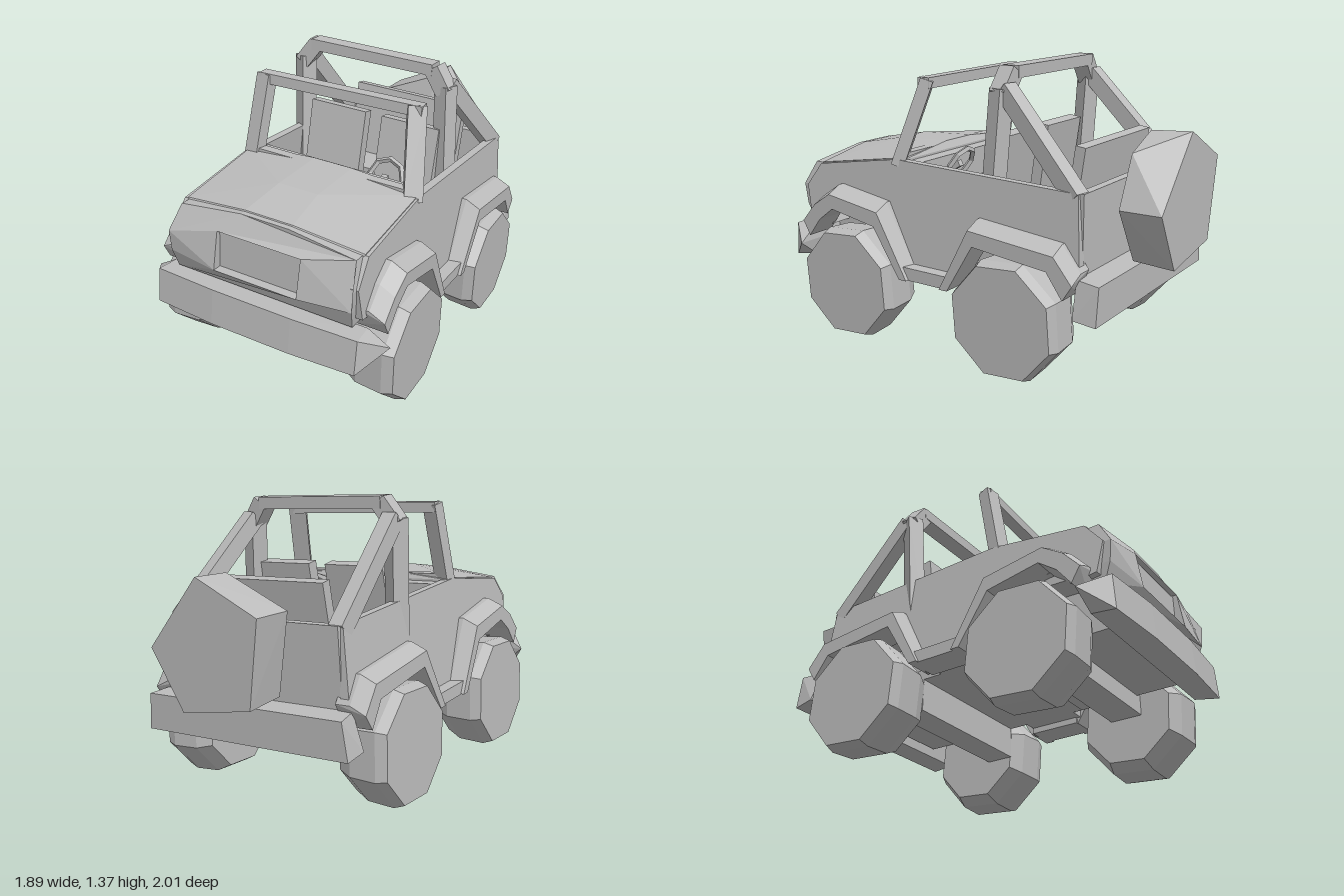
import * as THREE from 'three';
import { ConvexGeometry } from 'three/addons/geometries/ConvexGeometry.js';

export function createModel() {
  const model = new THREE.Group();
  const car = new THREE.Group();
  car.name = 'offRoadCar';
  model.add(car);
  const grey = new THREE.MeshStandardMaterial({ color: 0xbcbcbc, flatShading: true, side: THREE.DoubleSide });
  grey.name = 'plain grey';

  const add = (name, geo) => {
    const mesh = new THREE.Mesh(geo, grey);
    mesh.name = name;
    car.add(mesh);
    return mesh;
  };
  const hull = (name, pts) => add(name, new ConvexGeometry(pts.map((p) => new THREE.Vector3(...p))));
  const box = (name, size, pos, tilt = 0) => {
    const mesh = add(name, new THREE.BoxGeometry(...size));
    mesh.position.set(...pos);
    mesh.rotation.x = tilt;
    return mesh;
  };
  // square bar between two points
  const beam = (name, p, q, w, d = w) => {
    const a = new THREE.Vector3(...p), b = new THREE.Vector3(...q);
    const mesh = add(name, new THREE.BoxGeometry(w, d, a.distanceTo(b)));
    mesh.position.copy(a).add(b).multiplyScalar(0.5);
    mesh.lookAt(b);
    return mesh;
  };
  const points = (pts) => pts.map((p) => new THREE.Vector2(...p));

  // body sides with wheel arch cut-outs, profile in (z, y)
  const sideProfile = new THREE.Shape(points([
    [0.72, 0.835], [0.24, 0.91], [-0.73, 0.88], [-0.76, 0.5], [-0.69, 0.5], [-0.62, 0.61], [-0.27, 0.63],
    [-0.11, 0.39], [0.12, 0.39], [0.25, 0.63], [0.6, 0.65], [0.7, 0.56], [0.78, 0.57], [0.81, 0.72],
  ]));
  for (const s of [1, -1]) {
    const geo = new THREE.ExtrudeGeometry(sideProfile, { depth: 0.04, bevelEnabled: false });
    geo.rotateY(-Math.PI / 2);
    geo.translate(s > 0 ? 0.485 : -0.445, 0, 0);
    // lean the sides inwards towards the top
    const p = geo.attributes.position;
    for (let i = 0; i < p.count; i++) p.setX(i, p.getX(i) - s * (p.getY(i) - 0.6) * 0.08);
    add('bodySide', geo);
  }

  // hood with a slight crown
  hull('hood', [-1, 1].flatMap((s) => [
    [s * 0.45, 0.84, 0.72], [s * 0.45, 0.915, 0.24], [s * 0.45, 0.6, 0.76], [s * 0.45, 0.62, 0.2],
    [s * 0.12, 0.885, 0.75], [s * 0.1, 0.93, 0.52], [s * 0.1, 0.945, 0.22], [s * 0.45, 0.91, 0.2],
    [s * 0.22, 0.6, 0.81], [s * 0.22, 0.78, 0.81],
  ]));
  box('engine', [0.66, 0.24, 0.55], [0, 0.51, 0.5]);

  // nose with grille opening, bowed and sloped
  const noseShape = new THREE.Shape(points([
    [-0.45, 0.53], [0.45, 0.53], [0.46, 0.62], [0.465, 0.72], [0.44, 0.835], [0.12, 0.88], [-0.12, 0.88],
    [-0.44, 0.835], [-0.465, 0.72], [-0.46, 0.62],
  ]));
  noseShape.holes.push(new THREE.Path(points([[-0.21, 0.61], [-0.21, 0.79], [0.21, 0.79], [0.21, 0.61]])));
  const nose = new THREE.ExtrudeGeometry(noseShape, { depth: 0.12, bevelEnabled: false });
  nose.translate(0, 0, 0.76);
  const np = nose.attributes.position;
  for (let i = 0; i < np.count; i++) {
    const x = np.getX(i), y = np.getY(i);
    np.setZ(i, np.getZ(i) - 0.18 * x * x - Math.max(0, y - 0.72) * 0.6 - Math.max(0, 0.65 - y) * 0.4);
  }
  add('nose', nose);

  // tub: floor, rear panel, dashboard, wheel wells
  box('floor', [0.72, 0.05, 0.95], [0, 0.43, -0.26]);
  box('doorFloor', [0.92, 0.05, 0.28], [0, 0.43, 0.02]);
  box('rearPanel', [0.9, 0.4, 0.04], [0, 0.68, -0.73]);
  box('dashboard', [0.86, 0.14, 0.1], [0, 0.83, 0.18]);
  box('console', [0.1, 0.16, 0.4], [0, 0.53, -0.05]);
  for (const s of [1, -1]) {
    box('wheelWell', [0.13, 0.04, 0.6], [s * 0.385, 0.63, -0.43]);
    box('innerWell', [0.02, 0.24, 0.6], [s * 0.33, 0.53, -0.43]);
    // running board joining the two flares
    box('runningBoard', [0.14, 0.06, 0.26], [s * 0.49, 0.405, 0.01]);
  }

  // fender flares, each a row of angled slabs along an arch
  const arches = {
    frontFlare: [[0.75, 0.6], [0.67, 0.69], [0.57, 0.755], [0.27, 0.71], [0.1, 0.41]],
    rearFlare: [[-0.09, 0.41], [-0.25, 0.71], [-0.68, 0.67], [-0.77, 0.56]],
  };
  for (const [name, pts] of Object.entries(arches)) {
    const midZ = name === 'frontFlare' ? 0.43 : -0.43;
    for (const s of [1, -1]) {
      for (let i = 0; i < pts.length - 1; i++) {
        hull(name, [pts[i], pts[i + 1]].flatMap(([z, y]) => {
          const zi = z + (midZ - z) * 0.13, yi = Math.max(0.375, y - 0.105);
          return [[s * 0.43, y, z], [s * 0.5, y, z], [s * 0.575, y - 0.035, z], [s * 0.575, yi, zi], [s * 0.43, yi, zi]];
        }));
      }
    }
  }

  // wheels
  for (const s of [1, -1]) {
    for (const z of [0.455, -0.44]) {
      const pts = [];
      for (let i = 0; i < 8; i++) {
        const t = (i + 0.4) * Math.PI / 4;
        for (const [x, r] of [[0.36, 0.235], [0.43, 0.272], [0.56, 0.28], [0.61, 0.262]])
          pts.push([s * x, 0.304 + r * Math.sin(t), z + r * Math.cos(t)]);
      }
      hull(z > 0 ? 'frontWheel' : 'rearWheel', pts);
    }
  }
  // axle housings underneath
  box('frontAxle', [0.74, 0.1, 0.16], [0, 0.35, 0.45]);
  box('rearAxle', [0.72, 0.17, 0.14], [0, 0.335, -0.29]);

  // front bumper with ends swept back to a point
  hull('frontBumper', [-1, 1].flatMap((s) => [
    [s * 0.51, 0.355, 0.87], [s * 0.51, 0.52, 0.86], [s * 0.5, 0.52, 0.75], [s * 0.5, 0.375, 0.75],
    [s * 0.605, 0.455, 0.74], [s * 0.2, 0.355, 0.89], [s * 0.2, 0.525, 0.88],
  ]));
  hull('rearBumper', [-1, 1].flatMap((s) => [
    [s * 0.54, 0.355, -0.865], [s * 0.52, 0.525, -0.865], [s * 0.5, 0.53, -0.75], [s * 0.55, 0.37, -0.76],
  ]));

  // spare wheel on the tail
  const spare = [[0.03, 0.29], [-0.27, 0.14], [-0.2, -0.24], [0.16, -0.29], [0.31, -0.02]];
  hull('spareWheel', [
    ...spare.map(([x, y]) => [x, 0.815 + y, -1.03]),
    ...spare.map(([x, y]) => [x * 1.02, 0.815 + y * 0.96, -0.84]), [0.21, 1.02, -0.84], [0, 0.8, -0.76],
  ]);

  // windshield frame
  beam('windshieldPost', [0.43, 0.88, 0.25], [0.355, 1.28, 0.125], 0.085, 0.06);
  beam('windshieldPost', [-0.42, 0.88, 0.25], [-0.405, 1.28, 0.17], 0.075, 0.06);
  beam('windshieldTop', [-0.43, 1.265, 0.17], [0.39, 1.265, 0.125], 0.06, 0.05);
  beam('windshieldBase', [-0.43, 0.915, 0.24], [0.43, 0.915, 0.24], 0.05, 0.04);

  // roll bar with rear braces
  const side = (s, x) => s * x - 0.065;
  beam('rollBarTop', [side(-1, 0.34), 1.33, -0.265], [side(1, 0.325), 1.33, -0.265], 0.085, 0.055);
  for (const s of [1, -1]) {
    beam('rollBarCorner', [side(s, 0.32), 1.335, -0.265], [side(s, 0.395), 1.23, -0.26], 0.08, 0.08);
    beam('rollBarPost', [side(s, 0.39), 1.26, -0.26], [s * 0.4 - 0.02, 0.65, -0.24], 0.08, 0.075);
    beam('rollBarBrace', [side(s, 0.385), 1.26, -0.28], [s * 0.43, 0.85, -0.71], 0.07, 0.08);
  }

  // seats
  for (const s of [1, -1]) {
    box('frontSeatCushion', [0.3, 0.14, 0.28], [s * 0.2, 0.58, -0.04]);
    box('frontSeatBack', [0.31, 0.5, 0.06], [s * 0.2 - 0.02, 0.8, -0.2], -0.14);
  }
  box('rearSeatCushion', [0.6, 0.14, 0.22], [0, 0.6, -0.48]);
  box('rearSeatBack', [0.62, 0.42, 0.05], [-0.02, 0.83, -0.61], -0.14);

  // steering wheel on its column
  const wheel = add('steeringWheel', new THREE.TorusGeometry(0.085, 0.014, 4, 8));
  wheel.position.set(0.2, 0.87, 0.06);
  wheel.rotation.x = -0.5;
  beam('steeringColumn', [0.2, 0.87, 0.06], [0.2, 0.8, 0.18], 0.03);

  // parked at an angle with a slight lean
  car.rotation.order = 'YXZ';
  car.rotation.set(-0.03, -0.663, -0.046);
  car.position.set(-0.02, 0, 0.008);
  return model;
}
